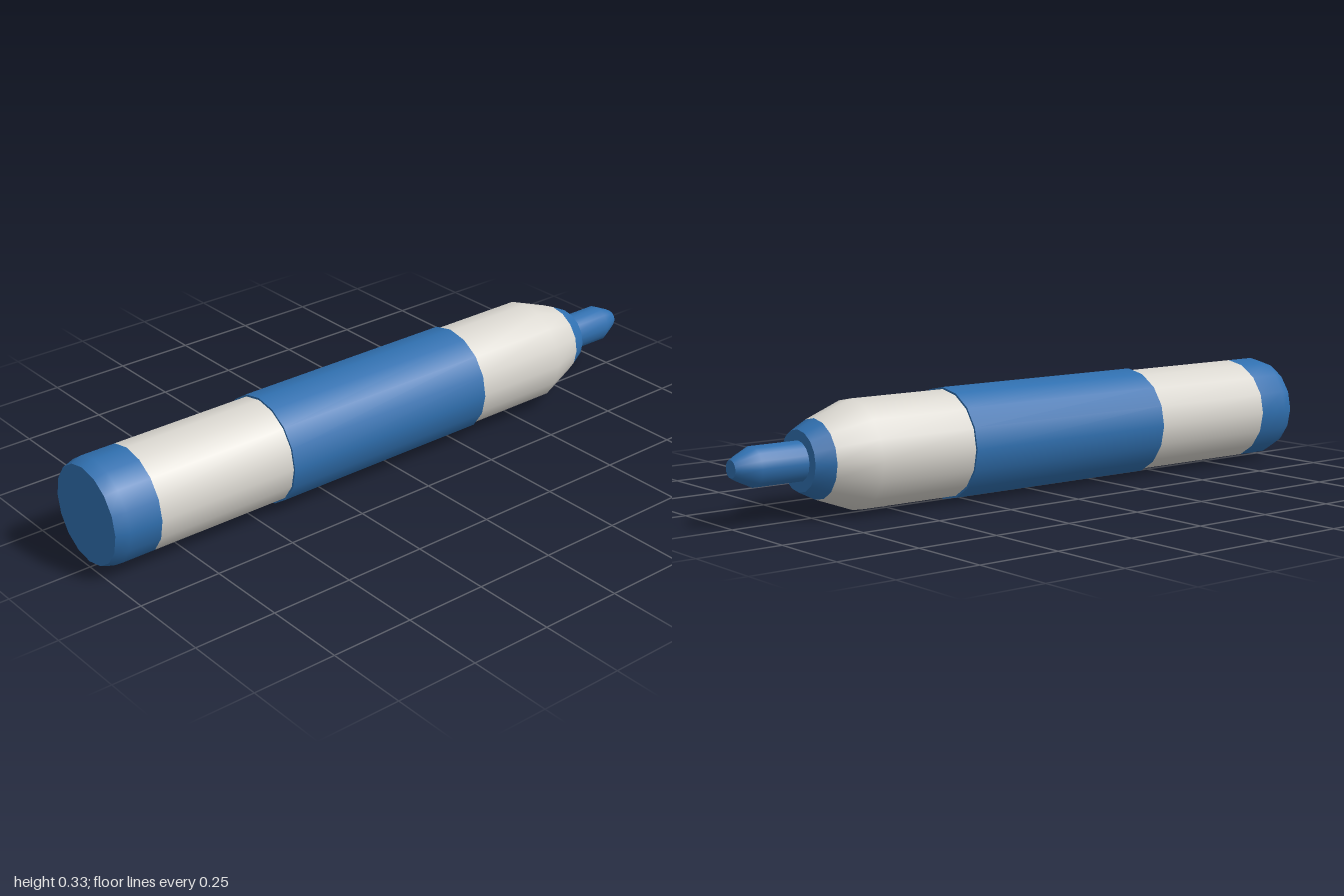
import * as THREE from 'three';

const SIDES = 16;
const CENTRE_Y = 0.163;

export function createModel() {
  const group = new THREE.Group();
  const blue = new THREE.MeshStandardMaterial({ color: 0x3070b0 });
  blue.name = 'blue plastic';
  const grey = new THREE.MeshStandardMaterial({ color: 0xdad7d0 });
  grey.name = 'pale grey plastic';

  // Revolve a [radius, z] profile, listed from back to front, about the pen axis
  function turned(name, material, profile) {
    const points = profile.map(([r, z]) => new THREE.Vector2(r, z));
    const geometry = new THREE.LatheGeometry(points, SIDES);
    geometry.rotateX(Math.PI / 2);
    const mesh = new THREE.Mesh(geometry, material);
    mesh.name = name;
    mesh.position.y = CENTRE_Y;
    group.add(mesh);
  }

  // Writing tip: small flat end, bevel and straight stem
  turned('tipEnd', blue, [[0, -1], [0.025, -1]]);
  turned('tip', blue, [[0.025, -1], [0.034, -0.985], [0.057, -0.935], [0.057, -0.79]]);

  // Collar around the tip
  turned('collarFace', blue, [[0.055, -0.79], [0.087, -0.79]]);
  turned('collar', blue, [[0.087, -0.79], [0.113, -0.737]]);

  // Barrel with tapered shoulder
  turned('barrel', grey, [[0.113, -0.737], [0.157, -0.615], [0.157, -0.3], [0.157, 0.42], [0.157, 0.86]]);

  // Raised central band with stepped ends
  turned('bandBackEdge', blue, [[0.15, -0.3], [0.163, -0.3]]);
  turned('band', blue, [[0.163, -0.3], [0.163, 0.42]]);
  turned('bandFrontEdge', blue, [[0.163, 0.42], [0.15, 0.42]]);

  // Bevelled end plug
  turned('endPlug', blue, [[0.157, 0.86], [0.157, 0.962], [0.145, 1]]);
  turned('endPlugFace', blue, [[0.145, 1], [0, 1]]);

  return group;
}
